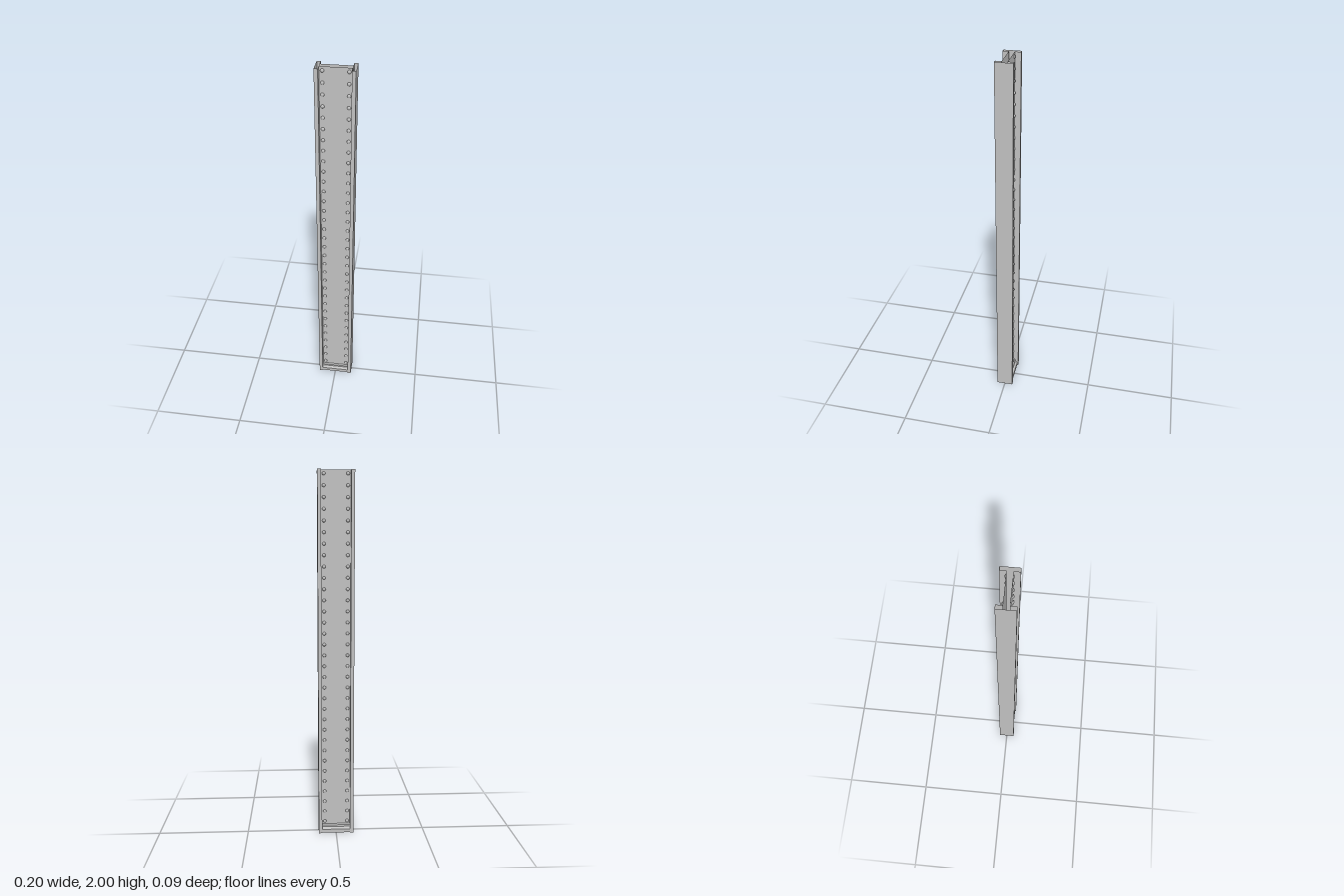
import * as THREE from 'three';

const H = 2, OUT_X = 0.098, IN_X = 0.079, FLANGE_Z = 0.046, WEB_Z = 0.0145;

// Flat-sided walls swept along an outline, open at both ends
function walls(outline, closed, place) {
  const pos = [];
  const n = closed ? outline.length : outline.length - 1;
  for (let i = 0; i < n; i++) {
    const a = outline[i], b = outline[(i + 1) % outline.length];
    const a0 = place(a, 0), b0 = place(b, 0), a1 = place(a, 1), b1 = place(b, 1);
    pos.push(...a0, ...b0, ...b1, ...a0, ...b1, ...a1);
  }
  const geo = new THREE.BufferGeometry();
  geo.setAttribute('position', new THREE.Float32BufferAttribute(pos, 3));
  geo.computeVertexNormals();
  return geo;
}

export function createModel() {
  const model = new THREE.Group();
  model.name = 'steelColumn';
  const steel = new THREE.MeshStandardMaterial({ color: 0xc0c0c0, side: THREE.DoubleSide });
  steel.name = 'greySteel';

  function add(name, geo, parent = model) {
    const mesh = new THREE.Mesh(geo, steel);
    mesh.name = name;
    parent.add(mesh);
    return mesh;
  }

  // Column with two hollow flanges and a recessed web, ends left open
  const section = [
    [OUT_X, FLANGE_Z], [OUT_X, -FLANGE_Z], [IN_X, -FLANGE_Z], [IN_X, -WEB_Z],
    [-IN_X, -WEB_Z], [-IN_X, -FLANGE_Z], [-OUT_X, -FLANGE_Z], [-OUT_X, FLANGE_Z],
    [-IN_X, FLANGE_Z], [-IN_X, WEB_Z], [IN_X, WEB_Z], [IN_X, FLANGE_Z],
  ];
  add('columnBody', walls(section, true, ([x, z], t) => [x, t * H, z]));

  // Stepped moulding at the foot of the web, listed from bottom to top as [z, y]
  const profile = [
    [0.04, 0], [0.04, 0.02], [0.034, 0.027], [0.028, 0.031],
    [0.028, 0.041], [0.021, 0.047], [0.021, 0],
  ];
  const moulding = walls(profile, false, ([z, y], t) => [(0.5 - t) * -2 * IN_X, y, z]);
  // Reverse the winding so the faces look outwards
  const p = moulding.attributes.position;
  for (let i = 0; i < p.count; i++) p.setX(i, -p.getX(i));
  moulding.computeVertexNormals();

  // Shallow domed rivet pointing along +z
  const rivet = new THREE.SphereGeometry(0.0095, 10, 4, 0, Math.PI * 2, 0, Math.PI / 2);
  rivet.scale(1, 0.75, 1);
  rivet.rotateX(Math.PI / 2);

  // The same fittings on the front and back of the web
  for (const [name, turn] of [['frontFittings', 0], ['backFittings', Math.PI]]) {
    const face = new THREE.Group();
    face.name = name;
    face.rotation.y = turn;
    model.add(face);
    add('footMoulding', moulding, face);
    for (const x of [-0.0635, 0.0635]) {
      for (let i = 0; i < 33; i++) {
        add('rivet', rivet, face).position.set(x, 0.06 + i * 0.06, WEB_Z);
      }
    }
  }
  return model;
}
